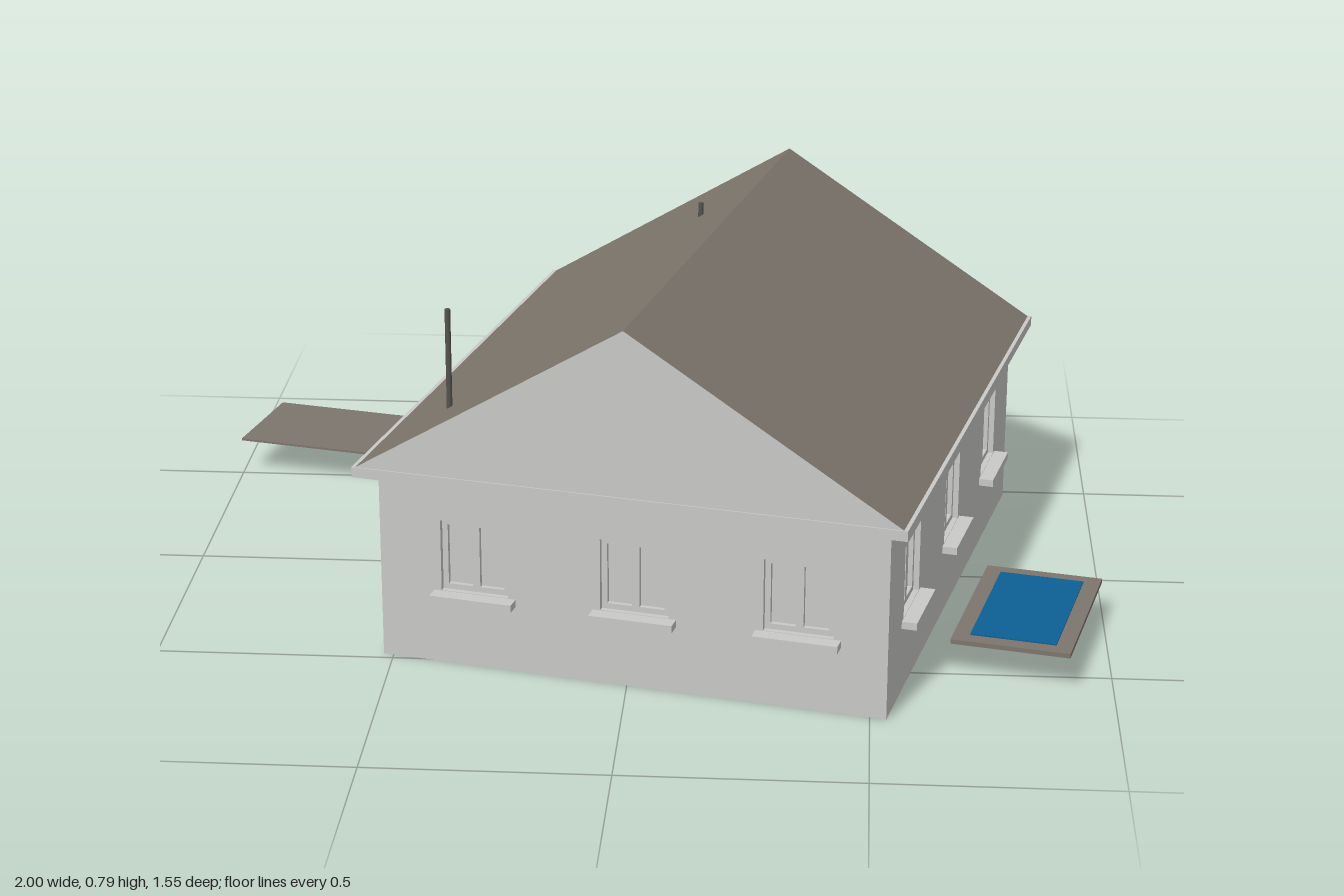
import * as THREE from 'three';

const mat = (name, color, side = THREE.FrontSide) => {
  const m = new THREE.MeshStandardMaterial({ color, side });
  m.name = name;
  return m;
};

export function createModel() {
  const plaster = mat('plaster', 0xc9c9c7);
  const brown = mat('roofBrown', 0x7d766d);
  const water = mat('poolWater', 0x0d5f96);
  const soil = mat('floorBrown', 0x54432f, THREE.DoubleSide);
  const pipeGrey = mat('pipeGrey', 0x55534f);

  const model = new THREE.Group();
  model.name = 'house';
  const house = new THREE.Group();
  house.name = 'houseAndYard';
  house.position.set(0.144, 0, -0.002);
  house.rotation.y = -0.225;
  model.add(house);

  const add = (parent, name, geo, material, x = 0, y = 0, z = 0) => {
    const m = new THREE.Mesh(geo, material);
    m.name = name;
    m.position.set(x, y, z);
    parent.add(m);
    return m;
  };
  const box = (parent, name, w, h, d, material, x, y, z) =>
    add(parent, name, new THREE.BoxGeometry(w, h, d), material, x, y, z);
  const rect = (P, x0, y0, x1, y1) => {
    const p = new P();
    p.moveTo(x0, y0);
    p.lineTo(x1, y0);
    p.lineTo(x1, y1);
    p.lineTo(x0, y1);
    p.closePath();
    return p;
  };

  const W = 1.082, D = 1.236, H = 0.415, T = 0.03;

  // Double-sash window set into a wall opening; z = 0 is the outer wall face
  const WIN = { w: 0.146, y0: 0.163, y1: 0.32 };
  function addWindow(wall, x) {
    const g = new THREE.Group();
    g.name = 'window';
    g.position.x = x;
    const h = WIN.w / 2;
    const frame = rect(THREE.Shape, -h, WIN.y0, h, WIN.y1);
    for (const s of [-1, 1]) {
      const a = s * 0.008, b = s * (h - 0.012);
      frame.holes.push(rect(THREE.Path, Math.min(a, b), WIN.y0 + 0.012, Math.max(a, b), WIN.y1 - 0.012));
    }
    add(g, 'windowFrame', new THREE.ExtrudeGeometry(frame, { depth: 0.01, bevelEnabled: false }), plaster, 0, 0, -0.022);
    box(g, 'windowPanes', WIN.w, WIN.y1 - WIN.y0, 0.006, plaster, 0, (WIN.y0 + WIN.y1) / 2, -0.027);
    box(g, 'windowSill', 0.178, 0.016, 0.05, plaster, 0, 0.154, 0.007);
    wall.add(g);
  }

  // Front door with canopy and step
  const DOOR = { w: 0.11, y0: 0.1, y1: 0.315 };
  function addDoor(wall) {
    const mid = (DOOR.y0 + DOOR.y1) / 2, dh = DOOR.y1 - DOOR.y0;
    box(wall, 'door', DOOR.w, dh, 0.006, plaster, 0, mid, -0.024);
    for (const s of [-1, 1]) box(wall, 'doorJamb', 0.01, dh, 0.012, plaster, s * 0.05, mid, -0.015);
    box(wall, 'doorStep', 0.16, 0.02, 0.075, plaster, 0, 0.09, 0.012);
    const side = new THREE.Shape([[0, 0.305], [0.052, 0.305], [0.052, 0.318], [0, 0.343]].map(p => new THREE.Vector2(...p)));
    const canopy = add(wall, 'doorCanopy', new THREE.ExtrudeGeometry(side, { depth: 0.16, bevelEnabled: false }), plaster, 0.08, 0, 0);
    canopy.rotation.y = -Math.PI / 2;
  }

  // Wall panel with openings, turned to face outward
  function addWall(name, length, dist, angle, windows, hasDoor = false) {
    const wall = new THREE.Group();
    wall.name = name;
    wall.rotation.y = angle;
    wall.position.set(Math.sin(angle) * dist, 0, Math.cos(angle) * dist);
    const s = rect(THREE.Shape, -length / 2, 0, length / 2, H);
    for (const x of windows) {
      s.holes.push(rect(THREE.Path, x - WIN.w / 2, WIN.y0, x + WIN.w / 2, WIN.y1));
      addWindow(wall, x);
    }
    if (hasDoor) {
      s.holes.push(rect(THREE.Path, -DOOR.w / 2, DOOR.y0, DOOR.w / 2, DOOR.y1));
      addDoor(wall);
    }
    add(wall, name + 'Panel', new THREE.ExtrudeGeometry(s, { depth: T, bevelEnabled: false }), plaster, 0, 0, -T);
    house.add(wall);
  }
  addWall('frontWall', W, D / 2, 0, [-0.335, 0.01, 0.355]);
  addWall('backWall', W, D / 2, Math.PI, [-0.35, -0.005, 0.34]);
  addWall('leftWall', D - 2 * T, W / 2, Math.PI / 2, [-0.405, -0.005, 0.395]);
  addWall('rightWall', D - 2 * T, W / 2, -Math.PI / 2, [-0.4, 0.4], true);

  // Floor inside the open base
  box(house, 'floor', W - 2 * T, 0.006, D - 2 * T, soil, 0, 0.085, 0);

  // Eave slab and gable roof: plaster gable ends, brown slopes
  const RW = 0.578, RD = 1.318, E = 0.433, R = 0.79;
  box(house, 'eaveSlab', 1.166, 0.022, 1.324, plaster, 0, 0.424, 0);
  const gable = new THREE.Shape([[-RW, E], [RW, E], [0, R]].map(p => new THREE.Vector2(...p)));
  add(house, 'gableRoof', new THREE.ExtrudeGeometry(gable, { depth: RD, bevelEnabled: false }),
    [plaster, brown], 0, 0, -RD / 2);

  // Vent pipes through the roof
  for (const [x, z, y0] of [[-0.42, 0.514, 0.5], [-0.122, -0.334, 0.68]]) {
    add(house, 'ventPipe', new THREE.CylinderGeometry(0.006, 0.006, 0.745 - y0, 12), pipeGrey, x, (0.745 + y0) / 2, z);
  }

  // Utility box on the back wall
  box(house, 'utilityBox', 0.085, 0.09, 0.075, brown, 0.055, 0.126, -0.655);

  // Path and pool
  box(house, 'path', 0.69, 0.005, 0.252, brown, -0.884, 0.083, -0.361);
  box(house, 'poolDeck', 0.25, 0.01, 0.395, brown, 0.747, 0.081, 0.19);
  box(house, 'poolWater', 0.18, 0.004, 0.33, water, 0.747, 0.087, 0.19);

  return model;
}
